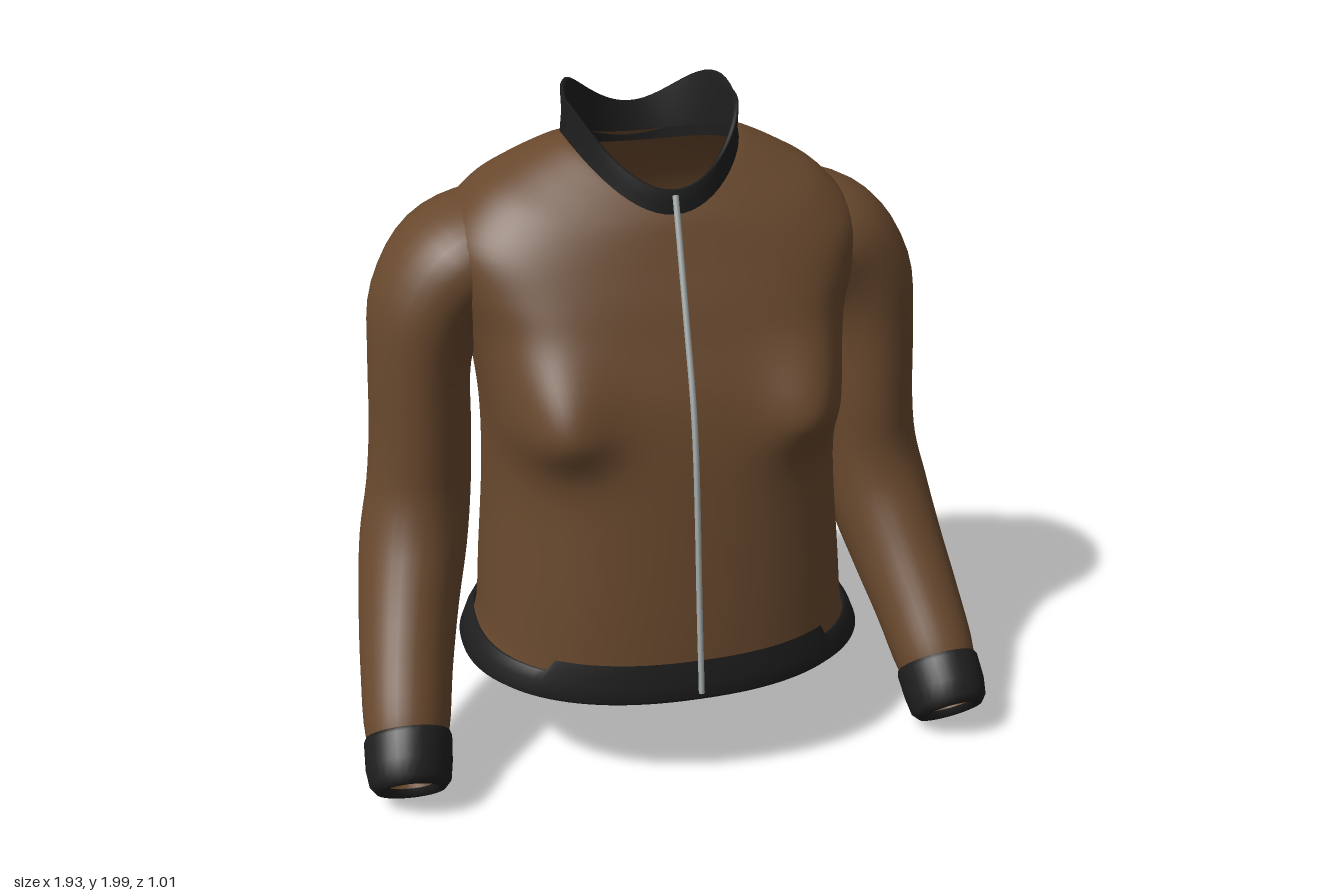
import * as THREE from 'three';

const cloth = new THREE.MeshStandardMaterial({ color: 0x68482d, side: THREE.DoubleSide });
cloth.name = 'brown cloth';
const trim = new THREE.MeshStandardMaterial({ color: 0x1e1e1e, side: THREE.DoubleSide });
trim.name = 'black ribbing';
const metal = new THREE.MeshStandardMaterial({ color: 0xa4aaaa });
metal.name = 'grey metal';

// Smooth in-between rows through a few rows of numbers (Catmull-Rom per column)
function smoothRows(rows, steps) {
  const out = [];
  const at = (i) => rows[Math.min(Math.max(i, 0), rows.length - 1)];
  for (let i = 0; i < rows.length - 1; i++) {
    for (let k = 0; k < steps; k++) {
      const t = k / steps;
      out.push(rows[i].map((p1, c) => {
        const p0 = at(i - 1)[c], p2 = at(i + 1)[c], p3 = at(i + 2)[c];
        return 0.5 * (2 * p1 + (p2 - p0) * t + (2 * p0 - 5 * p1 + 4 * p2 - p3) * t * t
          + (3 * p1 - p0 - 3 * p2 + p3) * t * t * t);
      }));
    }
  }
  out.push(rows[rows.length - 1]);
  return out;
}

// Skin closed rings of points into a smooth open tube
function loft(name, rings, material) {
  const n = rings[0].length, index = [];
  for (let i = 0; i < rings.length - 1; i++) {
    for (let j = 0; j < n; j++) {
      const a = i * n + j, b = a + n, c = i * n + (j + 1) % n, d = c + n;
      index.push(a, b, c, c, b, d);
    }
  }
  const geo = new THREE.BufferGeometry().setFromPoints(rings.flat());
  geo.setIndex(index);
  geo.computeVertexNormals();
  const mesh = new THREE.Mesh(geo, material);
  mesh.name = name;
  return mesh;
}

// Rounded body ring: half width, centre z, front z, back z, side/front/back heights, squareness
function bodyRing([w, zc, zF, zB, yS, yF, yB, p], n) {
  return Array.from({ length: n }, (_, j) => {
    const a = (j / n) * Math.PI * 2, c = Math.cos(a), s = Math.sin(a);
    const reach = s > 0 ? zF - zc : zc - zB;
    return new THREE.Vector3(
      w * Math.sign(c) * Math.abs(c) ** p,
      yS + ((s > 0 ? yF : yB) - yS) * s * s,
      zc + reach * Math.sign(s) * Math.abs(s) ** p);
  });
}

// Sleeve rings: centre x, y, z, radius fore-aft, radius sideways
function sleeveRings(rows, fixedDir, n = 32) {
  const centre = rows.map((r) => new THREE.Vector3(r[0], r[1], r[2]));
  return rows.map(([, , , ra, rb], i) => {
    const T = fixedDir ? fixedDir.clone() : centre[Math.min(i + 1, rows.length - 1)].clone()
      .sub(centre[Math.max(i - 1, 0)]);
    T.normalize();
    const D = new THREE.Vector3(0, 0, 1).addScaledVector(T, -T.z).normalize();
    const N = D.clone().cross(T);
    return Array.from({ length: n }, (_, j) => {
      const a = (j / n) * Math.PI * 2;
      return centre[i].clone().addScaledVector(D, ra * Math.cos(a)).addScaledVector(N, rb * Math.sin(a));
    });
  });
}

const mirror = (rings) => rings.map((r) =>
  r.map((v) => new THREE.Vector3(-v.x, v.y, v.z)).reverse());

export function createModel() {
  const jacket = new THREE.Group();
  jacket.name = 'jacket';

  // Torso, from hem to the sloping neck opening
  const torsoRows = [
    [0.59, 0, 0.475, -0.48, 0.325, 0.325, 0.325, 0.87],
    [0.565, 0, 0.472, -0.48, 0.42, 0.42, 0.42, 0.86],
    [0.55, -0.01, 0.46, -0.475, 0.6, 0.6, 0.6, 0.85],
    [0.53, -0.02, 0.436, -0.455, 0.85, 0.85, 0.85, 0.84],
    [0.525, -0.03, 0.411, -0.435, 1.05, 1.05, 1.05, 0.81],
    [0.535, -0.05, 0.378, -0.435, 1.2, 1.2, 1.2, 0.78],
    [0.56, -0.08, 0.322, -0.455, 1.35, 1.35, 1.35, 0.74],
    [0.6, -0.11, 0.285, -0.465, 1.48, 1.45, 1.48, 0.72],
    [0.61, -0.13, 0.246, -0.455, 1.61, 1.54, 1.58, 0.74],
    [0.515, -0.14, 0.216, -0.425, 1.73, 1.61, 1.67, 0.78],
    [0.4, -0.14, 0.194, -0.395, 1.8, 1.66, 1.74, 0.86],
    [0.28, -0.12, 0.177, -0.365, 1.855, 1.69, 1.79, 0.96],
    [0.236, -0.1, 0.163, -0.35, 1.86, 1.71, 1.81, 1],
  ];
  const torso = smoothRows(torsoRows, 5).map((r) => bodyRing(r, 112));
  for (const v of torso.flat()) {
    if (v.z > 0) { // chest fullness
      const dx = (Math.abs(v.x) - 0.39) / 0.15;
      const dy = (v.y - 1.13) / (v.y > 1.13 ? 0.21 : 0.11);
      v.z += 0.1 * Math.exp(-dx * dx - dy * dy);
    } else { // small hollow in the middle of the back
      v.z += 0.05 * Math.exp(-((v.x / 0.045) ** 2) - ((v.y - 1.17) / 0.08) ** 2);
    }
  }
  jacket.add(loft('torso', torso, cloth));

  // Hem band with a stepped upper edge, turned in at the bottom
  const hemRows = [
    [0.585, 0, 0.465, -0.475, 0.33, 0.33, 0.33, 0.88],
    [0.605, 0, 0.482, -0.492, 0.312, 0.312, 0.312, 0.88],
    [0.622, 0, 0.492, -0.502, 0.325, 0.325, 0.325, 0.88],
    [0.603, 0, 0.49, -0.498, 0.37, 0.37, 0.37, 0.87],
    [0.583, 0, 0.485, -0.492, 0.4, 0.4, 0.4, 0.86],
    [0.573, 0, 0.481, -0.488, 0.4, 0.4, 0.4, 0.86],
  ];
  const hem = hemRows.map((r) => bodyRing(r, 112));
  for (const v of hem[hem.length - 1]) if (Math.abs(v.x) < 0.42) v.y = 0.44;
  for (const v of hem[hem.length - 2]) if (Math.abs(v.x) < 0.42) v.y = 0.415;
  jacket.add(loft('hemBand', hem, trim));

  // Standing collar: high at the sides, dipping front and back
  const collarRows = [
    [0.262, -0.1, 0.182, -0.37, 1.81, 1.665, 1.765, 1],
    [0.25, -0.1, 0.18, -0.367, 1.89, 1.71, 1.83, 1],
    [0.253, -0.1, 0.178, -0.363, 1.955, 1.748, 1.88, 1],
    [0.248, -0.1, 0.172, -0.357, 1.963, 1.753, 1.887, 1],
    [0.238, -0.1, 0.162, -0.347, 1.955, 1.745, 1.88, 1],
    [0.232, -0.1, 0.16, -0.348, 1.85, 1.7, 1.8, 1],
  ];
  const collar = collarRows.map((r) => bodyRing(r, 64));
  for (const v of collar.slice(1, 5).flat()) { // peaks set behind the middle
    const u = Math.min(Math.max((-0.1 - v.z) / 0.26, 0), 1);
    v.y += 0.14 * u * (1 - u * u);
  }
  jacket.add(loft('collar', collar, trim));

  // Sleeves bend forward at the elbow and end in rolled cuffs
  const sleeveRows = [
    [0.3, 1.62, -0.16, 0.19, 0.11],
    [0.45, 1.575, -0.16, 0.235, 0.145],
    [0.57, 1.5, -0.152, 0.26, 0.178],
    [0.655, 1.38, -0.138, 0.232, 0.172],
    [0.69, 1.22, -0.13, 0.21, 0.15],
    [0.7, 1.0, -0.125, 0.2, 0.15],
    [0.715, 0.82, -0.115, 0.19, 0.155],
    [0.745, 0.66, -0.07, 0.185, 0.16],
    [0.78, 0.5, 0.03, 0.17, 0.148],
    [0.81, 0.35, 0.155, 0.148, 0.135],
    [0.832, 0.2, 0.285, 0.128, 0.12],
    [0.84, 0.095, 0.378, 0.08, 0.07],
  ];
  const cuffRows = [
    [0.83, 0.2, 0.282, 0.131, 0.122],
    [0.832, 0.19, 0.292, 0.138, 0.128],
    [0.838, 0.135, 0.342, 0.137, 0.126],
    [0.84, 0.097, 0.376, 0.13, 0.118],
    [0.841, 0.082, 0.39, 0.11, 0.1],
    [0.841, 0.083, 0.389, 0.09, 0.082],
    [0.84, 0.097, 0.376, 0.08, 0.07],
  ];
  const sleeve = sleeveRings(smoothRows(sleeveRows, 4));
  const cuff = sleeveRings(cuffRows, new THREE.Vector3(0.06, -0.7, 0.7));
  jacket.add(loft('leftSleeve', sleeve, cloth), loft('rightSleeve', mirror(sleeve), cloth));
  jacket.add(loft('leftCuff', cuff, trim), loft('rightCuff', mirror(cuff), trim));

  // Zip running down the centre front
  const zipPath = new THREE.CatmullRomCurve3([
    [0.34, 0.496], [0.6, 0.465], [0.85, 0.44], [1.05, 0.415], [1.2, 0.382],
    [1.4, 0.312], [1.6, 0.24], [1.74, 0.188],
  ].map(([y, z]) => new THREE.Vector3(0, y, z)));
  const zip = new THREE.Mesh(new THREE.TubeGeometry(zipPath, 40, 0.009, 6), metal);
  zip.name = 'zip';
  jacket.add(zip);

  return jacket;
}
